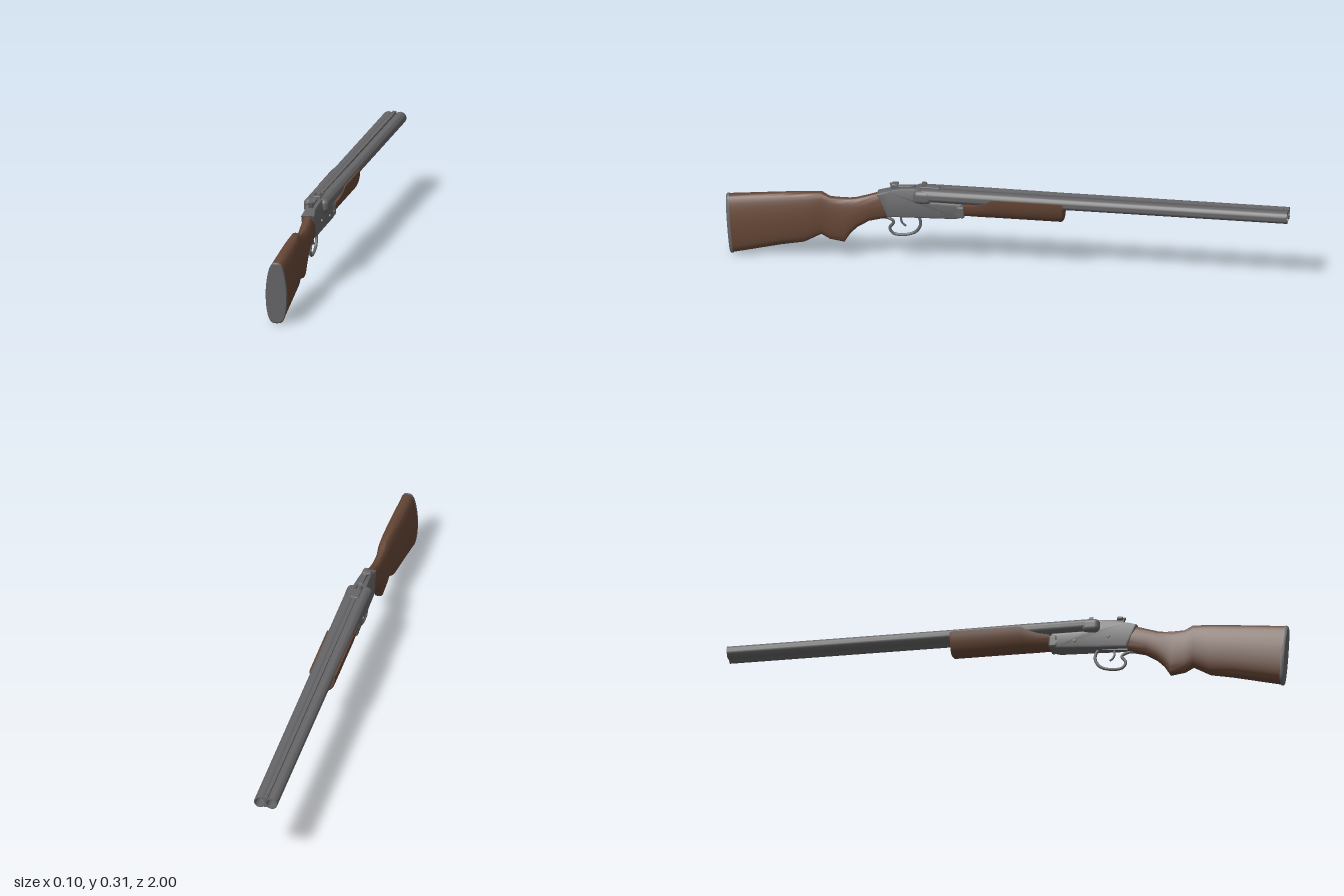
import * as THREE from 'three';
import { toCreasedNormals } from 'three/addons/utils/BufferGeometryUtils.js';
import { RoundedBoxGeometry } from 'three/addons/geometries/RoundedBoxGeometry.js';

const steel = new THREE.MeshStandardMaterial({ color: 0x666668 });
steel.name = 'steel';
const wood = new THREE.MeshStandardMaterial({ color: 0x654636 });
wood.name = 'walnut';

// Closed rings joined from low z to high z, with a fan at each end
function loft(rings) {
  const n = rings[0].length, pos = [], idx = [];
  rings.forEach(r => r.forEach(p => pos.push(...p)));
  for (let j = 0; j < rings.length - 1; j++) {
    for (let i = 0; i < n; i++) {
      const a = j * n + i, b = j * n + (i + 1) % n;
      idx.push(a, b, a + n, b, b + n, a + n);
    }
  }
  const last = (rings.length - 1) * n;
  for (let i = 1; i < n - 1; i++) {
    idx.push(0, i + 1, i);
    idx.push(last, last + i, last + i + 1);
  }
  const g = new THREE.BufferGeometry();
  g.setAttribute('position', new THREE.Float32BufferAttribute(pos, 3));
  g.setIndex(idx);
  return toCreasedNormals(g, 0.7);
}

// Rounded upright section, slanted from (zTop, yTop) to (zBottom, yBottom), narrower on top
function stockRing([zT, yT, zB, yB, w]) {
  const ring = [];
  for (let i = 0; i < 32; i++) {
    const a = i / 32 * Math.PI * 2, c = Math.cos(a), s = Math.sin(a);
    const x = Math.sign(c) * Math.abs(c) ** 0.6 * w * (1 - 0.22 * Math.max(0, s));
    const t = (1 + Math.sign(s) * Math.abs(s) ** 0.85) / 2;
    ring.push([x, yB + (yT - yB) * t, zB + (zT - zB) * t]);
  }
  return ring;
}

// Flat-topped U section for the fore-end
function foreRing([z, yT, yB, w]) {
  const ring = [];
  for (let i = 0; i <= 18; i++) {
    const a = Math.PI + i / 18 * Math.PI, c = Math.cos(a), s = Math.sin(a);
    ring.push([Math.sign(c) * Math.abs(c) ** 0.8 * w, yT + (yT - yB) * s, z]);
  }
  return ring;
}

// Side outline in (z, y), extruded across x
function sidePlate(points, width, bevel) {
  const shape = new THREE.Shape(points.map(p => new THREE.Vector2(...p)));
  const g = new THREE.ExtrudeGeometry(shape, {
    depth: width - 2 * bevel, bevelEnabled: bevel > 0, bevelThickness: bevel,
    bevelSize: bevel, bevelOffset: -bevel, bevelSegments: 3,
  });
  g.translate(0, 0, -(width - 2 * bevel) / 2);
  return g.rotateY(-Math.PI / 2);
}

function tube(points, r) {
  const curve = new THREE.CatmullRomCurve3(points.map(([z, y]) => new THREE.Vector3(0, y, z)));
  return new THREE.TubeGeometry(curve, 48, r, 8);
}

export function createModel() {
  const group = new THREE.Group();
  const add = (name, geometry, material, x = 0, y = 0, z = 0) => {
    const m = new THREE.Mesh(geometry, material);
    m.name = name;
    m.position.set(x, y, z);
    group.add(m);
    return m;
  };

  // Shoulder stock with grip
  add('stock', loft([
    [0.455, 0.265, 0.425, 0.172, 0.024], [0.50, 0.25, 0.49, 0.155, 0.024],
    [0.535, 0.239, 0.53, 0.13, 0.024], [0.56, 0.235, 0.555, 0.105, 0.024],
    [0.59, 0.235, 0.578, 0.068, 0.024], [0.63, 0.236, 0.63, 0.076, 0.025],
    [0.66, 0.252, 0.66, 0.093, 0.027], [0.72, 0.248, 0.72, 0.06, 0.033],
    [0.80, 0.241, 0.80, 0.045, 0.036], [0.99, 0.222, 0.972, 0.004, 0.038],
  ].map(stockRing)), wood);
  add('buttPad', loft([
    [0.989, 0.223, 0.971, 0.002, 0.0385], [0.996, 0.223, 0.979, 0, 0.0385],
    [1.0, 0.219, 0.983, 0.004, 0.036],
  ].map(stockRing)), steel);

  // Receiver, narrowed towards the tang and the top
  const body = sidePlate([
    [0.462, 0.265], [0.425, 0.18], [0.18, 0.191], [0.15, 0.2], [0.15, 0.238], [0.16, 0.25],
    [0.27, 0.25], [0.27, 0.29], [0.33, 0.293], [0.38, 0.288], [0.42, 0.279],
  ], 0.066, 0.007);
  const p = body.attributes.position;
  for (let i = 0; i < p.count; i++) {
    const k = 1 - 0.25 * THREE.MathUtils.smoothstep(p.getZ(i), 0.28, 0.43);
    p.setX(i, p.getX(i) * k * (p.getY(i) > 0.265 ? 0.8 : 1));
  }
  add('receiver', toCreasedNormals(body, 0.6), steel);

  // Barrels, with the rounded breech fences behind them
  const barrel = new THREE.LatheGeometry([
    [0, -0.3], [0.0235, -0.3], [0.0235, -0.06], [0.0218, 0.2], [0.0215, 1],
    [0.0175, 1], [0.0175, 0.75], [0, 0.75],
  ].map(q => new THREE.Vector2(...q)), 28);
  barrel.rotateX(-Math.PI / 2);
  const barrelGeometry = toCreasedNormals(barrel, 0.6);
  for (const s of [-1, 1]) {
    add(s > 0 ? 'leftBarrel' : 'rightBarrel', barrelGeometry, steel, s * 0.021, 0.273, 0);
    add('breechFence', new RoundedBoxGeometry(0.044, 0.05, 0.066, 4, 0.018), steel, s * 0.023, 0.268, 0.298);
    for (const [z, y] of [[0.24, 0.215], [0.36, 0.225], [0.175, 0.215]]) {
      const pin = add('receiverPin', new THREE.CylinderGeometry(0.006, 0.006, 0.006, 12), steel, s * (z > 0.3 ? 0.03 : 0.033), y, z);
      pin.rotation.z = Math.PI / 2;
    }
  }
  add('topRib', new THREE.BoxGeometry(0.013, 0.012, 1.28), steel, 0, 0.290, -0.36);
  add('lowerRib', new THREE.BoxGeometry(0.014, 0.008, 0.82), steel, 0, 0.26, -0.59);
  add('frontBead', new THREE.SphereGeometry(0.004, 10, 8), steel, 0, 0.298, -0.98);

  // Fore-end and its iron
  add('foreEnd', loft([
    [-0.203, 0.276, 0.206, 0.046], [-0.195, 0.278, 0.198, 0.049], [0.05, 0.278, 0.198, 0.049],
    [0.075, 0.263, 0.198, 0.046], [0.11, 0.25, 0.198, 0.042], [0.152, 0.243, 0.198, 0.037],
  ].map(foreRing)), wood);
  add('foreEndIron', new RoundedBoxGeometry(0.072, 0.044, 0.03, 3, 0.007), steel, 0, 0.219, 0.163);

  // Trigger and guard
  add('triggerGuard', tube([
    [0.45, 0.168], [0.425, 0.168], [0.404, 0.155], [0.418, 0.13], [0.405, 0.11], [0.36, 0.108],
    [0.325, 0.122], [0.309, 0.15], [0.313, 0.175], [0.325, 0.19],
  ], 0.0055), steel);
  add('trigger', tube([[0.375, 0.19], [0.378, 0.165], [0.372, 0.15], [0.36, 0.141]], 0.004), steel);
  add('lowerTang', new THREE.BoxGeometry(0.018, 0.008, 0.14), steel, 0, 0.182, 0.38).rotation.x = 0.1;

  // Top lever and rear sight
  add('topLever', sidePlate([
    [0.325, 0.288], [0.41, 0.279], [0.418, 0.302], [0.4, 0.302], [0.385, 0.295], [0.33, 0.3],
  ], 0.016, 0.002), steel);
  add('leverThumbPiece', new RoundedBoxGeometry(0.032, 0.010, 0.022, 2, 0.003), steel, -0.005, 0.296, 0.40);
  add('sightBase', new RoundedBoxGeometry(0.028, 0.012, 0.07, 2, 0.003), steel, 0, 0.294, 0.275);
  for (const s of [-1, 1]) {
    add('sightPost', new THREE.BoxGeometry(0.007, 0.016, 0.016), steel, s * 0.0085, 0.302, 0.296);
  }
  return group;
}
